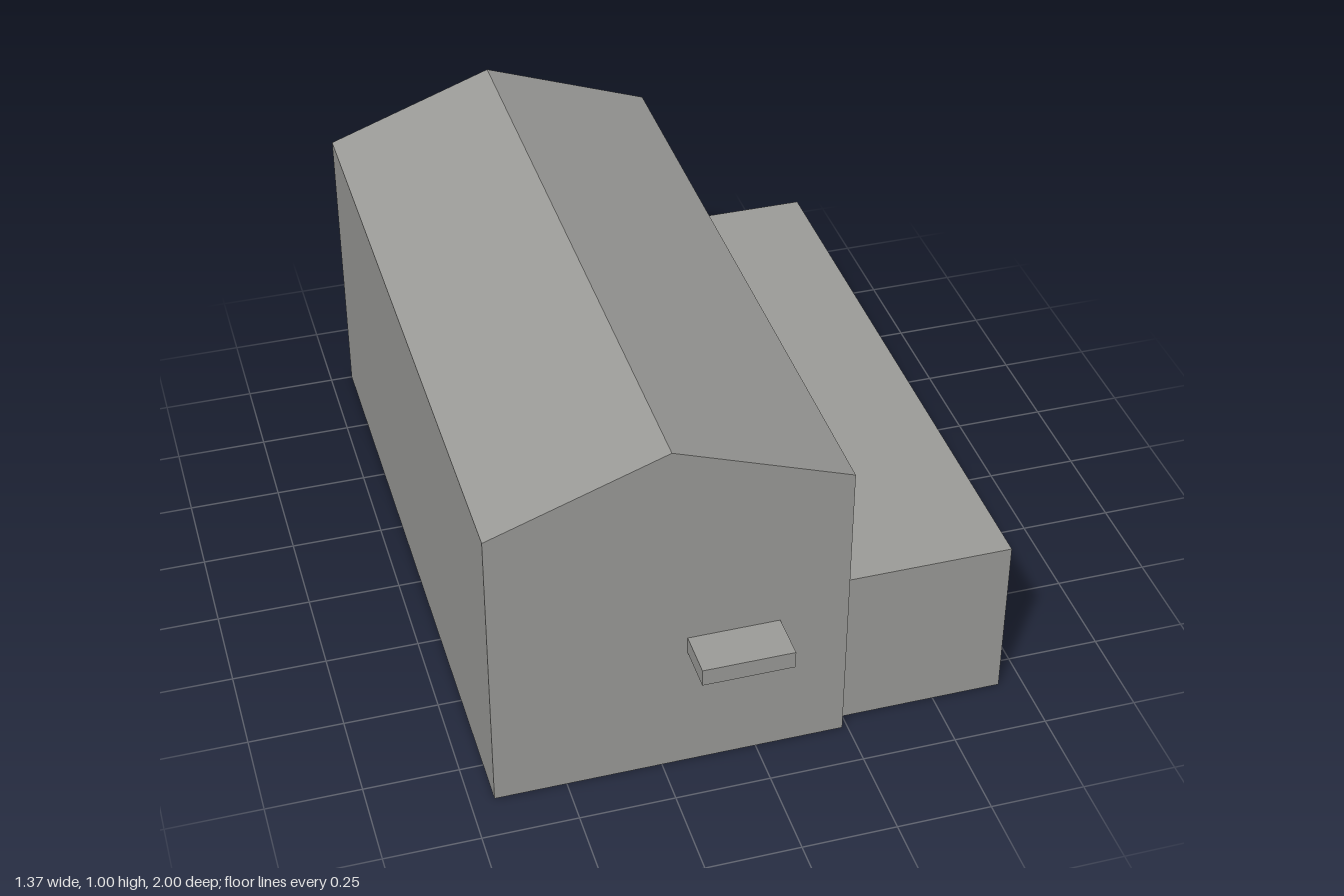
import * as THREE from 'three';

const HALF = 0.462, EAVE = 0.83, RIDGE = 0.996;   // hall section, centred on its ridge
const HALL_X = -0.226, FRONT = 0.875, BACK = -1;
const WING = { x0: 0.236, x1: 0.686, height: 0.463, front: 0.835, back: -0.875 };

export function createModel() {
  const model = new THREE.Group();
  model.name = 'building';
  // The shells are thin and open underneath, so both sides show
  const grey = new THREE.MeshStandardMaterial({ color: 0x9d9d9a, side: THREE.DoubleSide });
  grey.name = 'warm grey';

  const add = (parent, name, geometry) => {
    const mesh = new THREE.Mesh(geometry, grey);
    mesh.name = name;
    parent.add(mesh);
    return mesh;
  };
  const outline = (points) =>
    new THREE.ShapeGeometry(new THREE.Shape(points.map(([x, y]) => new THREE.Vector2(x, y))));
  // Four-cornered face, counter-clockwise seen from outside
  const quad = (...corners) => {
    const geometry = new THREE.BufferGeometry();
    geometry.setAttribute('position', new THREE.Float32BufferAttribute(corners.flat(), 3));
    geometry.setIndex([0, 1, 2, 0, 2, 3]);
    geometry.computeVertexNormals();
    return geometry;
  };

  // Main hall
  const hall = new THREE.Group();
  hall.name = 'hall';
  hall.position.x = HALL_X;
  model.add(hall);

  const gable = [[-HALF, 0], [HALF, 0], [HALF, EAVE], [0, RIDGE], [-HALF, EAVE]];
  add(hall, 'frontGable', outline(gable).translate(0, 0, FRONT));
  add(hall, 'backGable', outline(gable).rotateY(Math.PI).translate(0, 0, BACK));

  add(hall, 'roofLeft',
    quad([HALF, EAVE, FRONT], [HALF, EAVE, BACK], [0, RIDGE, BACK], [0, RIDGE, FRONT]));
  add(hall, 'roofRight',
    quad([-HALF, EAVE, BACK], [-HALF, EAVE, FRONT], [0, RIDGE, FRONT], [0, RIDGE, BACK]));

  add(hall, 'wallRight',
    quad([-HALF, 0, BACK], [-HALF, 0, FRONT], [-HALF, EAVE, FRONT], [-HALF, EAVE, BACK]));

  // Left wall, open where the side wing joins the hall
  const { x0, x1, height, front, back } = WING;
  add(hall, 'wallLeft', outline([
    [-FRONT, 0], [-front, 0], [-front, height], [-back, height],
    [-back, 0], [-BACK, 0], [-BACK, EAVE], [-FRONT, EAVE],
  ]).rotateY(Math.PI / 2).translate(HALF, 0, 0));

  // Flat-roofed side wing
  const wing = new THREE.Group();
  wing.name = 'sideWing';
  model.add(wing);
  add(wing, 'wingFront',
    quad([x0, 0, front], [x1, 0, front], [x1, height, front], [x0, height, front]));
  add(wing, 'wingBack',
    quad([x1, 0, back], [x0, 0, back], [x0, height, back], [x1, height, back]));
  add(wing, 'wingSide',
    quad([x1, 0, front], [x1, 0, back], [x1, height, back], [x1, height, front]));
  add(wing, 'wingRoof',
    quad([x0, height, front], [x1, height, front], [x1, height, back], [x0, height, back]));

  // Small canopy on the front wall
  add(model, 'canopy', new THREE.BoxGeometry(0.24, 0.048, 0.125))
    .position.set(-0.064, 0.388, FRONT + 0.0625);

  return model;
}
